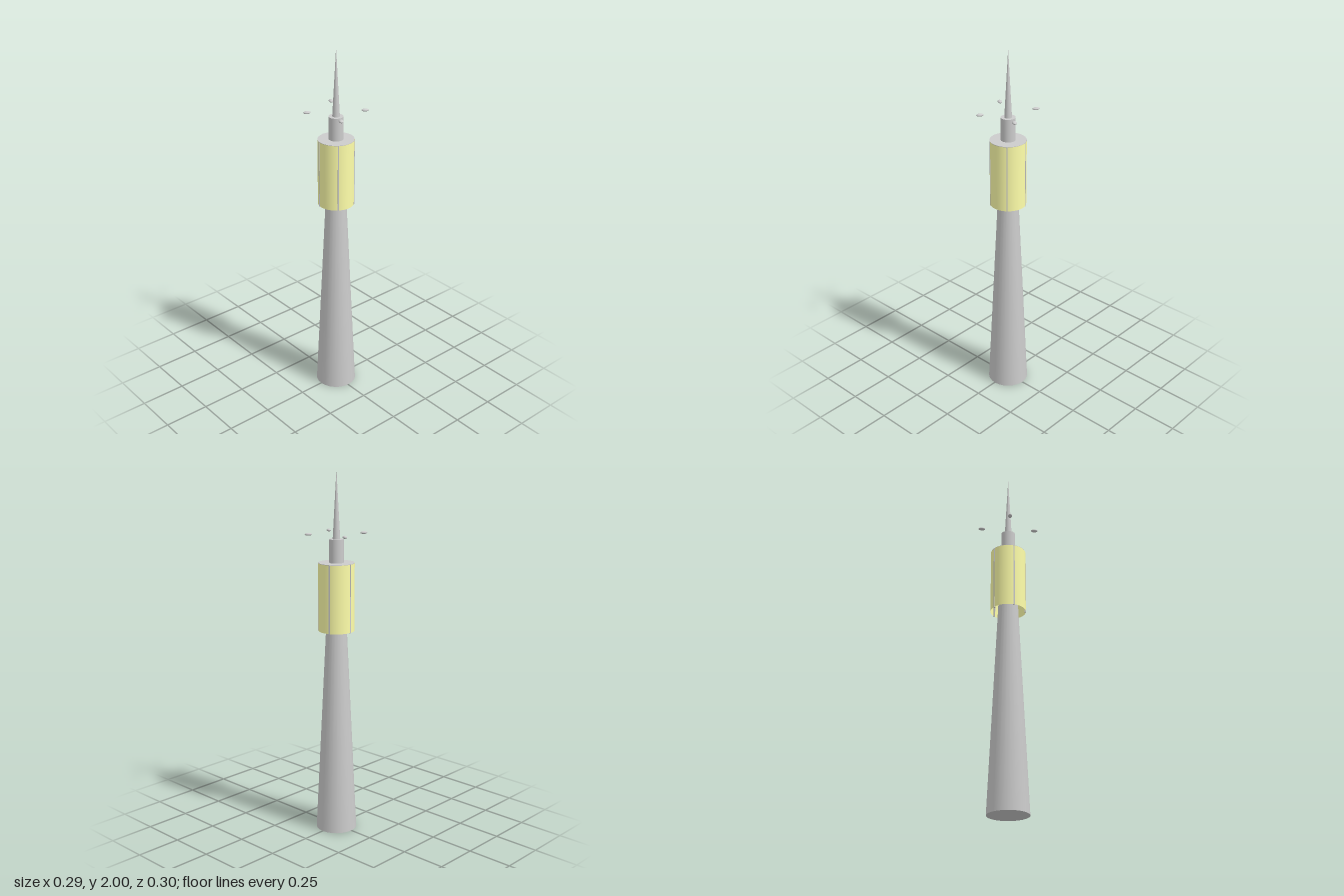
import * as THREE from 'three';

export function createModel() {
  const model = new THREE.Group();
  const grey = new THREE.MeshStandardMaterial({ color: 0xcccccc });
  const yellow = new THREE.MeshStandardMaterial({ color: 0xffffaa, side: THREE.DoubleSide });

  // Everything but the floating stones shares one slightly offset axis
  const tower = new THREE.Group();
  tower.name = 'tower';
  tower.position.x = 0.003;
  model.add(tower);

  function add(name, geometry, material, parent = tower) {
    const mesh = new THREE.Mesh(geometry, material);
    mesh.name = name;
    parent.add(mesh);
    return mesh;
  }

  // Round section between two heights
  function column(name, rTop, rBottom, y0, y1, sides) {
    const mesh = add(name, new THREE.CylinderGeometry(rTop, rBottom, y1 - y0, sides), grey);
    mesh.position.y = (y0 + y1) / 2;
    return mesh;
  }

  column('shaft', 0.039, 0.1125, 0, 1.5, 24);
  column('drumRoof', 0.097, 0.097, 1.5, 1.51, 40);
  column('neck', 0.039, 0.039, 1.5, 1.635, 32);
  column('spire', 0, 0.02, 1.635, 2, 16);

  // Drum: five curved panels, open below, with a strut at each joint
  const drumBottom = 1.14, drumTop = 1.508, drumHeight = drumTop - drumBottom;
  const step = Math.PI * 2 / 5;
  for (let i = 0; i < 5; i++) {
    const angle = THREE.MathUtils.degToRad(51) + i * step;
    const panel = add('drumPanel', new THREE.CylinderGeometry(
      0.0975, 0.0975, drumHeight, 8, 1, true, Math.PI / 2 - angle, step), yellow);
    panel.position.y = drumBottom + drumHeight / 2;

    const strut = add('drumStrut', new THREE.BoxGeometry(0.007, drumHeight + 0.003, 0.009), grey);
    strut.position.set(Math.cos(angle) * 0.0945, drumBottom + drumHeight / 2, Math.sin(angle) * 0.0945);
    strut.rotation.y = Math.PI / 2 - angle;
  }

  // Floating stones around the spire, long axis pointing outwards
  const stoneGeometry = new THREE.SphereGeometry(1, 16, 10).scale(0.0195, 0.0075, 0.012);
  for (const [x, z, degrees] of [[0.079, -0.131, -60], [-0.127, -0.077, 210], [0.125, 0.087, 35], [-0.073, 0.129, 120]]) {
    const stone = add('floatingStone', stoneGeometry, grey, model);
    stone.position.set(x, 1.664, z);
    stone.rotation.y = -THREE.MathUtils.degToRad(degrees);
  }

  return model;
}
